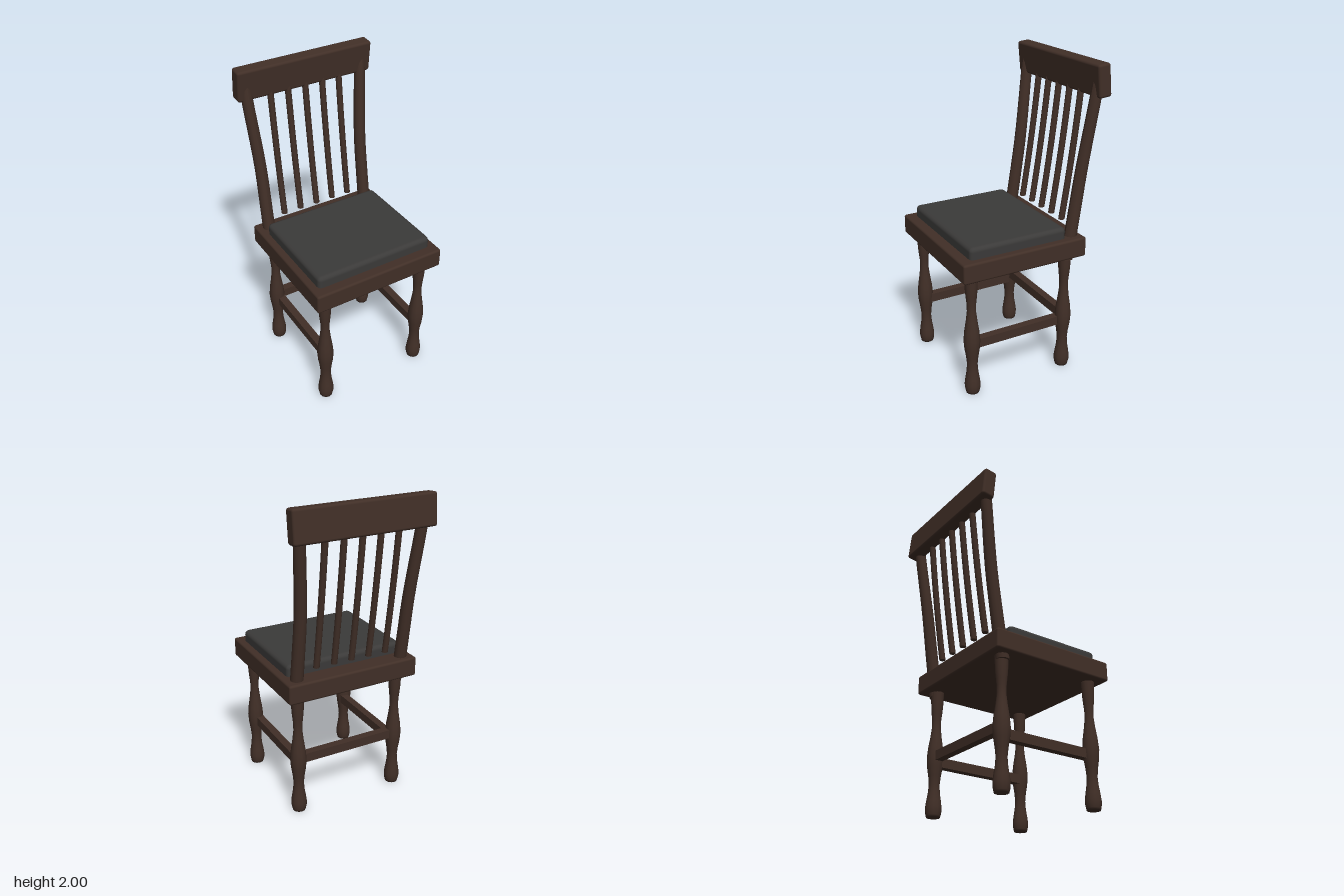
import * as THREE from 'three';
import { RoundedBoxGeometry } from 'three/addons/geometries/RoundedBoxGeometry.js';

const wood = new THREE.MeshStandardMaterial({ color: 0x412f27 });
const fabric = new THREE.MeshStandardMaterial({ color: 0x3b3a39 });

export function createModel() {
  const chair = new THREE.Group();
  chair.name = 'chair';

  const add = (name, geometry, x, y, z, material = wood) => {
    const mesh = new THREE.Mesh(geometry, material);
    mesh.name = name;
    mesh.position.set(x, y, z);
    chair.add(mesh);
    return mesh;
  };

  // Upright rod whose centre line follows bend(y) -> [x, z]
  const bentRod = (y0, y1, r0, r1, sides, bend) => {
    const g = new THREE.CylinderGeometry(r1, r0, y1 - y0, sides, 12);
    g.translate(0, (y0 + y1) / 2, 0);
    const p = g.attributes.position;
    for (let i = 0; i < p.count; i++) {
      const [dx, dz] = bend(p.getY(i));
      p.setX(i, p.getX(i) + dx);
      p.setZ(i, p.getZ(i) + dz);
    }
    g.computeVertexNormals();
    return g;
  };

  // Backward lean of the backrest, with a slight bow
  const lean = (y, bow) => {
    const t = (y - 0.775) / 1.025;
    return -0.268 - 0.147 * t - bow * 4 * t * (1 - t);
  };

  // Seat and cushion
  add('seat', new RoundedBoxGeometry(0.89, 0.127, 0.845, 2, 0.014), 0, 0.867, 0.0625);
  add('cushion', new RoundedBoxGeometry(0.8, 0.1, 0.66, 2, 0.028), 0, 0.953, 0.09, fabric);

  // Turned legs: radius, height
  const legProfile = new THREE.SplineCurve([
    [0.042, 0], [0.05, 0.06], [0.033, 0.2], [0.052, 0.37],
    [0.028, 0.57], [0.037, 0.7], [0.043, 0.83],
  ].map(([r, y]) => new THREE.Vector2(r, y))).getPoints(18);
  const legGeometry = new THREE.LatheGeometry(
    [new THREE.Vector2(0, 0), ...legProfile, new THREE.Vector2(0, 0.83)], 12);

  for (const s of [-1, 1]) {
    const side = s > 0 ? 'left' : 'right';
    add(side + 'FrontLeg', legGeometry, s * 0.35, 0, 0.395);
    add(side + 'BackLeg', legGeometry, s * 0.35, 0, -0.265);
    add(side + 'Stretcher', new THREE.BoxGeometry(0.05, 0.06, 0.66), s * 0.335, 0.337, 0.065);

    // Back post, flaring outward towards the top
    const flare = (y) => 0.365 + 0.037 * THREE.MathUtils.smoothstep(y, 1.25, 2);
    add(side + 'BackPost',
      bentRod(0.775, 1.9, 0.041, 0.035, 12, (y) => [s * flare(y), lean(y, 0.004)]), 0, 0, 0);
  }
  add('backStretcher', new THREE.BoxGeometry(0.7, 0.06, 0.05), 0, 0.375, -0.265);

  // Spindles
  for (let i = -2; i <= 2; i++) {
    add('spindle', bentRod(0.99, 1.85, 0.02, 0.02, 10, (y) => [i * 0.12, lean(y, 0.01)]), 0, 0, 0);
  }

  // Top rail, tipped slightly forward
  const rail = add('topRail', new RoundedBoxGeometry(0.92, 0.2, 0.086, 2, 0.016), 0, 1.897, -0.433);
  rail.rotation.x = 0.1;

  return chair;
}
